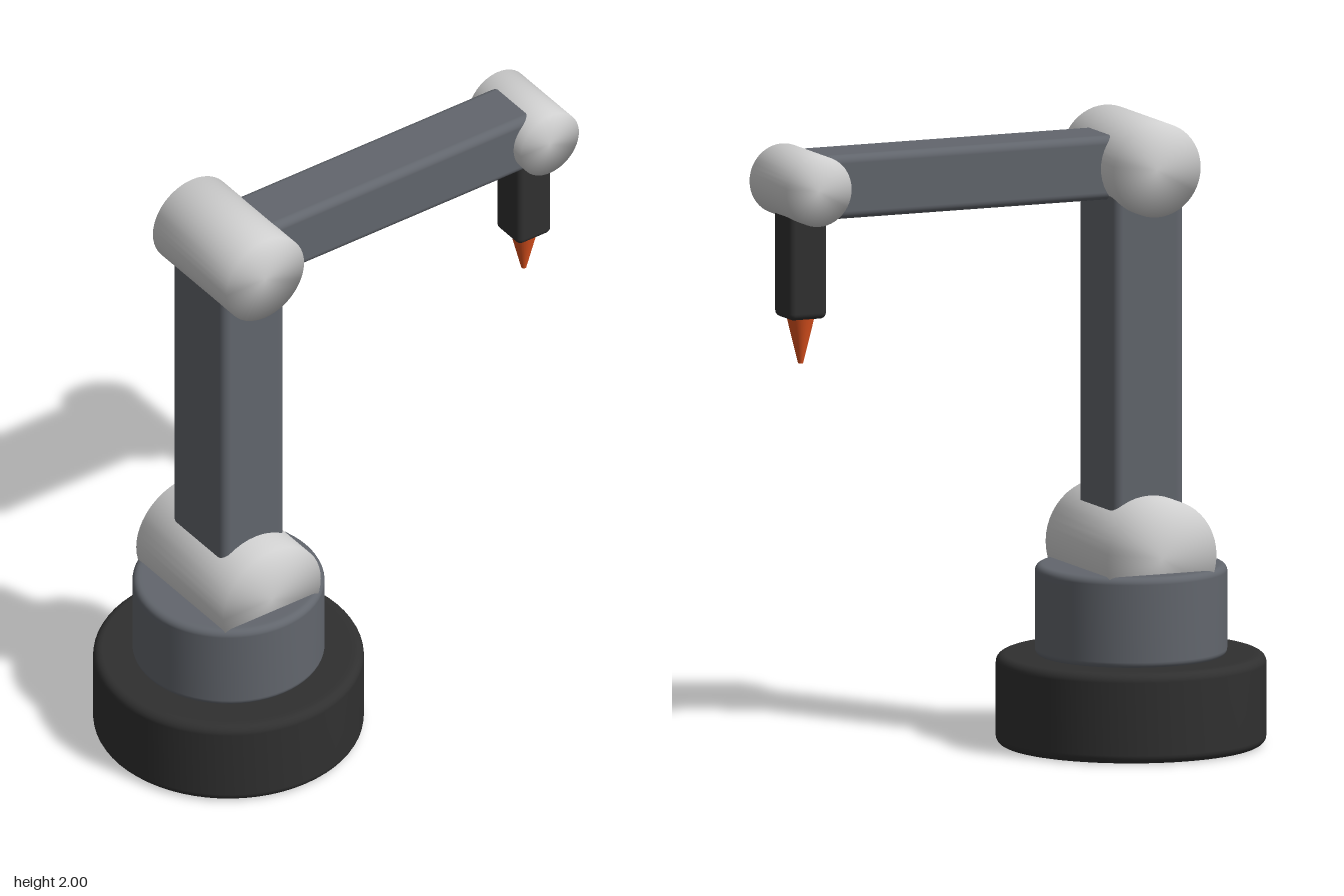
import * as THREE from 'three';
import { mergeVertices } from 'three/addons/utils/BufferGeometryUtils.js';
import { RoundedBoxGeometry } from 'three/addons/geometries/RoundedBoxGeometry.js';

const material = (name, color) => {
  const m = new THREE.MeshStandardMaterial({ color });
  m.name = name;
  return m;
};

export function createModel() {
  const black = material('charcoal', 0x303030);
  const grey = material('steelGrey', 0x62666d);
  const white = material('lightGrey', 0xd2d2d2);
  const orange = material('orange', 0xe0531f);

  const group = new THREE.Group();
  group.name = 'robotArm';

  const add = (name, geometry, mat, x, y, z = 0) => {
    const mesh = new THREE.Mesh(geometry, mat);
    mesh.name = name;
    mesh.position.set(x, y, z);
    group.add(mesh);
    return mesh;
  };

  // Upright drum with rounded rims, standing on y = 0
  const drum = (radius, height, bevel) => {
    const pts = [new THREE.Vector2(0, 0), new THREE.Vector2(radius - bevel - 0.01, 0)];
    const steps = 5;
    for (const [cy, start] of [[bevel, -Math.PI / 2], [height - bevel, 0]]) {
      for (let i = 0; i <= steps; i++) {
        const a = start + (i / steps) * Math.PI / 2;
        pts.push(new THREE.Vector2(radius - bevel + bevel * Math.cos(a), cy + bevel * Math.sin(a)));
      }
    }
    pts.push(new THREE.Vector2(radius - bevel - 0.01, height), new THREE.Vector2(0, height));
    return new THREE.LatheGeometry(pts, 64);
  };

  // Horizontal joint barrel along z, its shading blended over the rims
  const barrel = (radius, length) => {
    const g = new THREE.CylinderGeometry(radius, radius, length, 48);
    g.rotateX(Math.PI / 2);
    g.deleteAttribute('normal');
    g.deleteAttribute('uv');
    const merged = mergeVertices(g, 1e-4);
    merged.clearGroups();
    merged.computeVertexNormals();
    return merged;
  };

  const link = (w, h, d, r) => new RoundedBoxGeometry(w, h, d, 4, r);

  const px = -0.414; // axis of base and column
  const wx = 0.724; // axis of wrist and tool

  // Base and turntable
  add('base', drum(0.425, 0.287, 0.028), black, px, 0);
  add('turntable', drum(0.302, 0.29, 0.022), grey, px, 0.282);

  // Joints
  add('shoulderJoint', barrel(0.188, 0.47), white, px, 0.62);
  add('elbowJoint', barrel(0.15, 0.396), white, px, 1.85);
  add('wristJoint', barrel(0.112, 0.282), white, wx, 1.85);

  // Arm links, running from joint centre to joint centre
  add('upperArm', link(0.242, 1.23, 0.284, 0.03), grey, px, 1.235);
  add('forearm', link(wx - px, 0.204, 0.204, 0.026), grey, (px + wx) / 2, 1.85);

  // Tool and nozzle
  add('toolHolder', link(0.13, 0.42, 0.13, 0.02), black, wx, 1.64);
  add('nozzle', new THREE.CylinderGeometry(0.046, 0.008, 0.155, 32), orange, wx, 1.362);

  return group;
}
